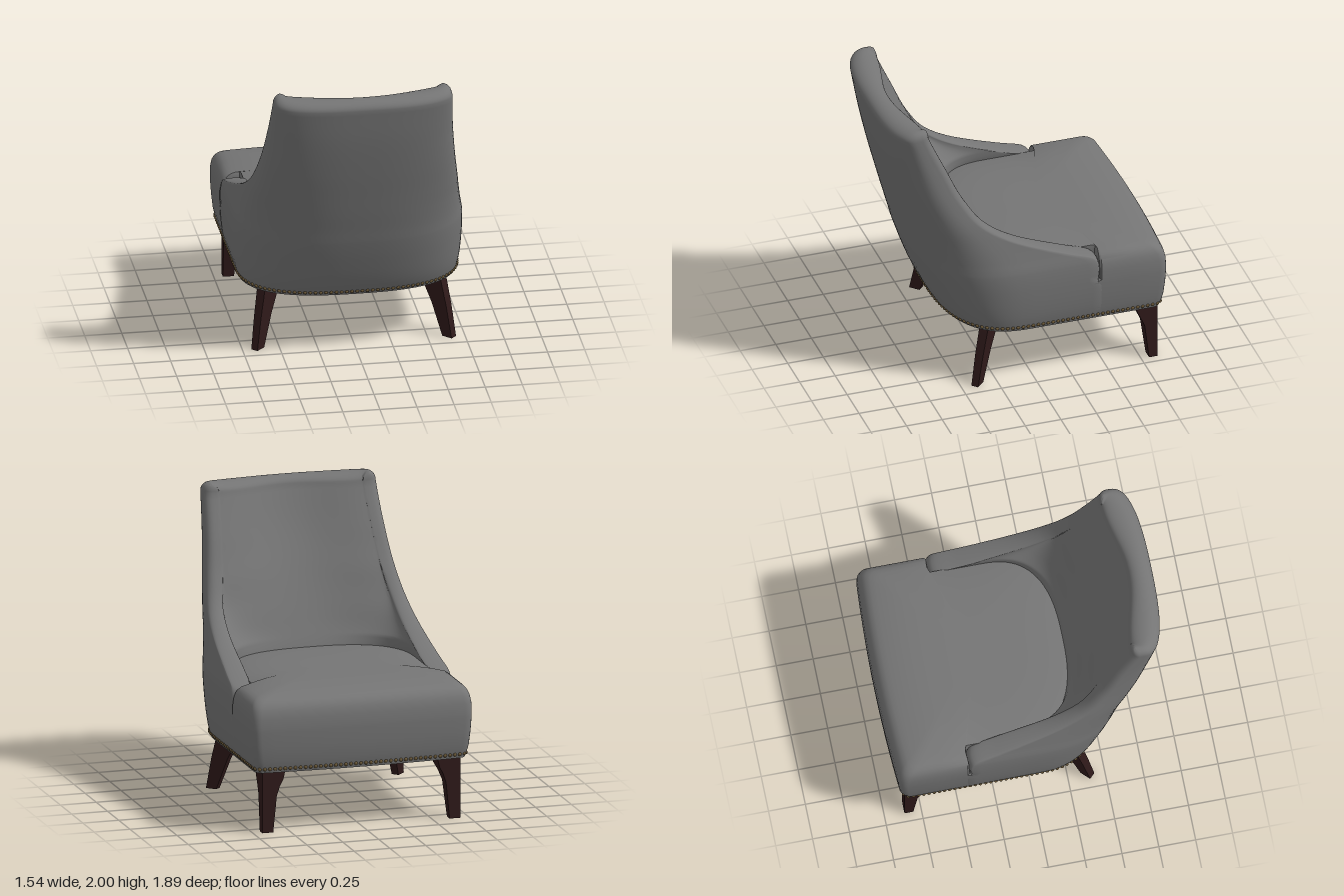
import * as THREE from 'three';
import { mergeGeometries, toCreasedNormals } from 'three/addons/utils/BufferGeometryUtils.js';

// Skin a stack of closed rings (counter-clockwise from above), optionally capped
function loft(rings, { caps = true, crease = 0.7 } = {}) {
  const n = rings[0].length, pos = rings.flat().flat(), index = [];
  for (let i = 0; i < rings.length - 1; i++) {
    for (let j = 0; j < n; j++) {
      const a = i * n + j, b = i * n + (j + 1) % n;
      index.push(a, b, a + n, b, b + n, a + n);
    }
  }
  const cap = (r, up) => {
    const c = pos.length / 3, s = r * n;
    pos.push(...[0, 1, 2].map(k => rings[r].reduce((t, p) => t + p[k], 0) / n));
    for (let j = 0; j < n; j++) {
      const a = s + j, b = s + (j + 1) % n;
      if (up) index.push(a, b, c); else index.push(b, a, c);
    }
  };
  if (caps) {
    cap(0, false);
    cap(rings.length - 1, true);
  }
  const g = new THREE.BufferGeometry();
  g.setAttribute('position', new THREE.Float32BufferAttribute(pos, 3));
  g.setIndex(index);
  return toCreasedNormals(g, crease);
}

// Mirror a half outline of [x, z], running from one centre point to the other
const mirror = half => [...half, ...half.slice(1, -1).reverse().map(([x, z]) => [-x, z])];
const atHeight = (outline, y) => outline.map(([x, z]) => [x, y, z]);

// Squarish quarter arc from the back centre (0, back) to the side (w, start)
function backArc(w, back, start, steps = 20) {
  return Array.from({ length: steps + 1 }, (_, i) => {
    const a = (1 - i / steps) * Math.PI / 2;
    return i === steps ? [w, start]
      : [i ? w * Math.cos(a) ** 0.75 : 0, start + (back - start) * Math.sin(a) ** 0.75];
  });
}

// Bowed front edge with rounded corner, from the side to the front centre
function frontEdge(w, zf) {
  const pts = [], r = 0.06, bow = 0.025;
  for (let i = 0; i <= 5; i++) {
    const a = i / 5 * Math.PI / 2;
    pts.push([w - r + r * Math.cos(a), zf + bow + r - r * Math.sin(a)]);
  }
  for (let i = 7; i >= 0; i--) {
    const t = i / 8;
    pts.push([(w - r) * t, zf + bow * t * t]);
  }
  return pts;
}

// Backrest profile by height: half width, back z, corner start z, front z, inner half width, inner back z
const profile = [
  [0.42, 0.735, 0.53, 0.03, -0.435, 0.62, 0.30],
  [0.50, 0.753, 0.575, 0.02, -0.435, 0.62, 0.31],
  [0.70, 0.769, 0.655, 0.02, -0.435, 0.62, 0.32],
  [0.86, 0.764, 0.708, 0.06, -0.435, 0.62, 0.33],
  [0.90, 0.757, 0.719, 0.08, -0.40, 0.62, 0.335],
  [0.95, 0.745, 0.732, 0.12, -0.25, 0.61, 0.35],
  [1.09, 0.717, 0.77, 0.24, 0.10, 0.60, 0.41],
  [1.225, 0.692, 0.804, 0.37, 0.31, 0.585, 0.47],
  [1.42, 0.655, 0.852, 0.53, 0.46, 0.55, 0.56],
  [1.69, 0.62, 0.91, 0.67, 0.59, 0.52, 0.69],
  [1.93, 0.602, 0.948, 0.775, 0.70, 0.50, 0.79],
];
const spline = new THREE.CubicInterpolant(profile.map(r => r[0]), profile.flatMap(r => r.slice(1)), 6);

// U-shaped section of the shell; close = 1 draws outside and inside together along the top edge
function shellSection(y, close = 0, yOut = y) {
  const [w, back, corner, edge, wi, bi] = Array.from(spline.evaluate(y));
  const front = (y < 0.72 ? -0.47 : edge) + close * 0.03;
  const roll = 0.025 + 0.025 * THREE.MathUtils.smoothstep(y, 0.9, 1.3);
  const side = front + roll, xm = (w + wi) / 2;
  const half = backArc(w, back, corner);
  for (let i = 1; i < 8; i++) half.push([w, corner + (side - corner) * i / 8]);
  for (let i = 0; i <= 10; i++) {
    const a = i / 10 * Math.PI;
    half.push([xm + (w - wi) / 2 * Math.cos(a), side - roll * Math.sin(a)]);
  }
  const ci = Math.max(side + 0.005, -0.1);
  for (let i = 1; i < 8; i++) half.push([wi, side + (ci - side) * i / 8]);
  half.push(...backArc(wi, bi, ci).reverse());

  // higher up, the inside eases from the wing tips into a shallow hollow
  const soft = 0.95 * THREE.MathUtils.smoothstep(y, 1.0, 1.5), last = half.length - 1;
  const eased = half.map(([x, z], i) => i <= last / 2 ? [x, z]
    : [x, THREE.MathUtils.lerp(z, front + (bi - front) * (1 + Math.cos(Math.PI * x / xm)) / 2, soft)]);
  const closed = eased.map((p, i) => p.map((v, k) => THREE.MathUtils.lerp(v, eased[last - i][k], close / 2)));
  const lift = 0.012 * THREE.MathUtils.smoothstep(yOut, 1.85, 1.98);
  return mirror(closed).map(([x, z]) => [x, yOut + lift * Math.min(1, Math.abs(x) / 0.55) ** 4, z]);
}

function shellGeometry() {
  const rings = [];
  const span = (a, b, n) => { for (let i = 0; i < n; i++) rings.push(shellSection(a + (b - a) * i / n)); };
  span(0.42, 0.715, 8);
  span(0.725, 0.86, 4);
  span(0.86, 1.24, 32);
  span(1.24, 1.93, 22);
  for (let i = 0; i <= 8; i++) {
    const a = i / 8 * Math.PI / 2;
    rings.push(shellSection(1.93, 1 - Math.cos(a), 1.93 + 0.058 * Math.sin(a)));
  }
  return loft(rings, { caps: false, crease: 1.1 });
}

// T-shaped seat: full width in front of the arms, narrower between them
function seatGeometry() {
  const levels = [ // y, half width, front z, arm notch z
    [0.42, 0.735, -0.905, -0.38], [0.46, 0.745, -0.915, -0.38], [0.5, 0.753, -0.925, -0.38],
    [0.6, 0.763, -0.935, -0.38], [0.7, 0.769, -0.94, -0.38], [0.725, 0.769, -0.94, -0.438],
    [0.79, 0.768, -0.936, -0.438], [0.84, 0.76, -0.925, -0.438], [0.87, 0.749, -0.909, -0.439],
    [0.893, 0.732, -0.887, -0.441], [0.908, 0.71, -0.86, -0.444], [0.917, 0.68, -0.825, -0.448],
  ];
  const outline = (w, zf, nz) => {
    const inn = 0.626;
    const half = backArc(inn, 0.4, -0.1);
    half.push([inn, -0.25], [inn, nz + 0.015], [inn + 0.01, nz], [w - 0.012, nz], [w, nz - 0.012], [w, -0.65]);
    return mirror([...half, ...frontEdge(w, zf)]);
  };
  const rings = levels.map(([y, w, zf, nz]) => atHeight(outline(w, zf, nz), y));
  // gently crowned top
  const rim = rings[rings.length - 1];
  for (const s of [0.95, 0.88, 0.78, 0.65, 0.48, 0.28, 0.08])
    rings.push(rim.map(([x, , z]) => [x * s, 0.917 + 0.038 * (1 - s ** 4), -0.25 + (z + 0.25) * s]));
  return loft(rings);
}

// Tapered rectangular leg from sections [y, x, z, width, depth], turned about the vertical
function legGeometry(sections, turn = 0) {
  const c = Math.cos(turn) / 2, s = Math.sin(turn) / 2;
  return loft(sections.map(([y, x, z, w, d]) => [[-w, d], [w, d], [w, -d], [-w, -d]].map(
    ([dx, dz]) => [x + dx * c + dz * s, y, z - dx * s + dz * c])), { crease: 0.4 });
}

export function createModel() {
  const material = (name, color) => {
    const m = new THREE.MeshStandardMaterial({ color });
    m.name = name;
    return m;
  };
  const fabric = material('grey fabric', 0x757575);
  const wood = material('dark wood', 0x2f1a1a);
  const brass = material('aged brass', 0x6a5838);
  const group = new THREE.Group();
  group.name = 'chair';
  const add = (name, geometry, mat) => {
    const mesh = new THREE.Mesh(geometry, mat);
    mesh.name = name;
    group.add(mesh);
  };

  add('backrestAndArms', shellGeometry(), fabric);
  add('seat', seatGeometry(), fabric);

  // Underside panel
  const plan = (w, back, zf) => mirror([...backArc(w, back, 0.03), ...frontEdge(w, zf)]);
  const panel = plan(0.733, 0.528, -0.903);
  add('underside', loft([atHeight(panel, 0.415), atHeight(panel, 0.425)]), fabric);

  // Row of nail heads around the bottom edge
  const path = new THREE.CurvePath();
  const edge = plan(0.739, 0.542, -0.91).map(([x, z]) => new THREE.Vector3(x, 0.443, z));
  edge.forEach((p, i) => path.add(new THREE.LineCurve3(p, edge[(i + 1) % edge.length])));
  const count = Math.round(path.getLength() / 0.035);
  const nails = [];
  for (let i = 0; i < count; i++) {
    const p = path.getPointAt(i / count);
    nails.push(new THREE.SphereGeometry(0.013, 8, 6).translate(p.x, p.y, p.z));
  }
  add('nailHeads', mergeGeometries(nails), brass);

  // Front legs flare at the top; back legs are slim boards splayed toward the corners
  const front = [[0, 0.075, 0.06], [0.25, 0.1, 0.09], [0.31, 0.12, 0.115], [0.36, 0.145, 0.14], [0.42, 0.16, 0.155]];
  for (const s of [1, -1]) {
    const side = s > 0 ? 'Left' : 'Right';
    add('frontLeg' + side, legGeometry(front.map(([y, w, d]) =>
      [y, s * (0.69 - w / 2), -0.865 + d / 2, w, d])), wood);
    add('backLeg' + side, legGeometry([
      [0, s * 0.645, 0.385, 0.05, 0.077], [0.22, s * 0.602, 0.33, 0.058, 0.12], [0.42, s * 0.55, 0.265, 0.065, 0.175],
    ], s * Math.PI / 4), wood);
  }
  return group;
}
